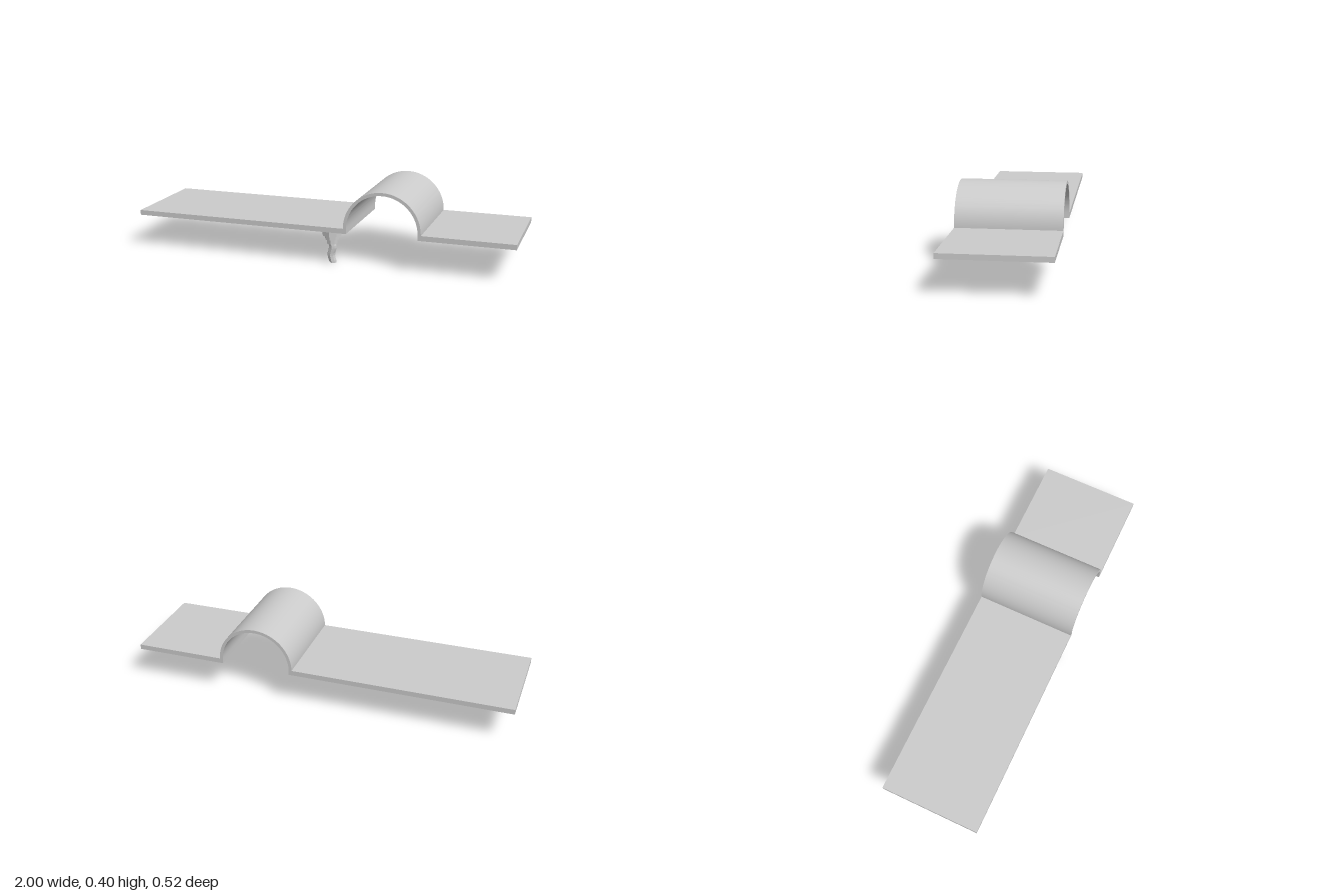
import * as THREE from 'three';
import { toCreasedNormals } from 'three/addons/utils/BufferGeometryUtils.js';

const BOTTOM = 0.172, TOP = 0.198, DEPTH = 0.522;
const ARCH_X = 0.337, OUTER = 0.199, INNER = 0.183;
const PEG_X = 0.063, PEG_Z = 0.205;

export function createModel() {
  const group = new THREE.Group();
  const material = new THREE.MeshStandardMaterial({ color: 0xcccccc });
  const flat = new THREE.MeshStandardMaterial({ color: 0xcccccc, flatShading: true });

  const add = (name, geometry, mat, x = 0, y = 0, z = 0) => {
    const mesh = new THREE.Mesh(geometry, mat);
    mesh.name = name;
    mesh.position.set(x, y, z);
    group.add(mesh);
  };

  // Strip with a half-round arch, open underneath
  const profile = new THREE.Shape();
  profile.moveTo(-1, BOTTOM);
  profile.lineTo(ARCH_X - INNER, BOTTOM);
  profile.lineTo(ARCH_X - INNER, TOP);
  profile.absarc(ARCH_X, TOP, INNER, Math.PI, 0, true);
  profile.lineTo(ARCH_X + INNER, BOTTOM);
  profile.lineTo(1, BOTTOM);
  profile.lineTo(1, TOP);
  profile.lineTo(ARCH_X + OUTER, TOP);
  profile.absarc(ARCH_X, TOP, OUTER, 0, Math.PI, false);
  profile.lineTo(-1, TOP);
  profile.closePath();
  const strip = new THREE.ExtrudeGeometry(profile, { depth: DEPTH, bevelEnabled: false, curveSegments: 32 });
  add('archedStrip', toCreasedNormals(strip, 0.5), material, 0, 0, -DEPTH / 2);

  // Stepped octagonal collars under the strip: radius, bottom, top
  [[0.051, 0.145, BOTTOM], [0.037, 0.124, 0.145], [0.028, 0.101, 0.124]].forEach(([r, y0, y1], i) => {
    add(`collar${i + 1}`, new THREE.CylinderGeometry(r, r, y1 - y0, 8), flat, PEG_X, (y0 + y1) / 2, PEG_Z);
  });

  // Slightly wavy shaft with a slanted tip
  const height = 0.102;
  const shaft = new THREE.CylinderGeometry(0.0205, 0.0205, height, 8, 8);
  shaft.translate(0, height / 2, 0);
  const p = shaft.attributes.position;
  for (let i = 0; i < p.count; i++) {
    const x = p.getX(i), y = p.getY(i);
    if (y < 0.001) p.setY(i, Math.max(0, -x) * 0.5);
    p.setX(i, x + 0.004 * Math.cos((y / height) * Math.PI * 2.5));
  }
  add('shaft', shaft, flat, PEG_X, 0, PEG_Z);

  return group;
}
